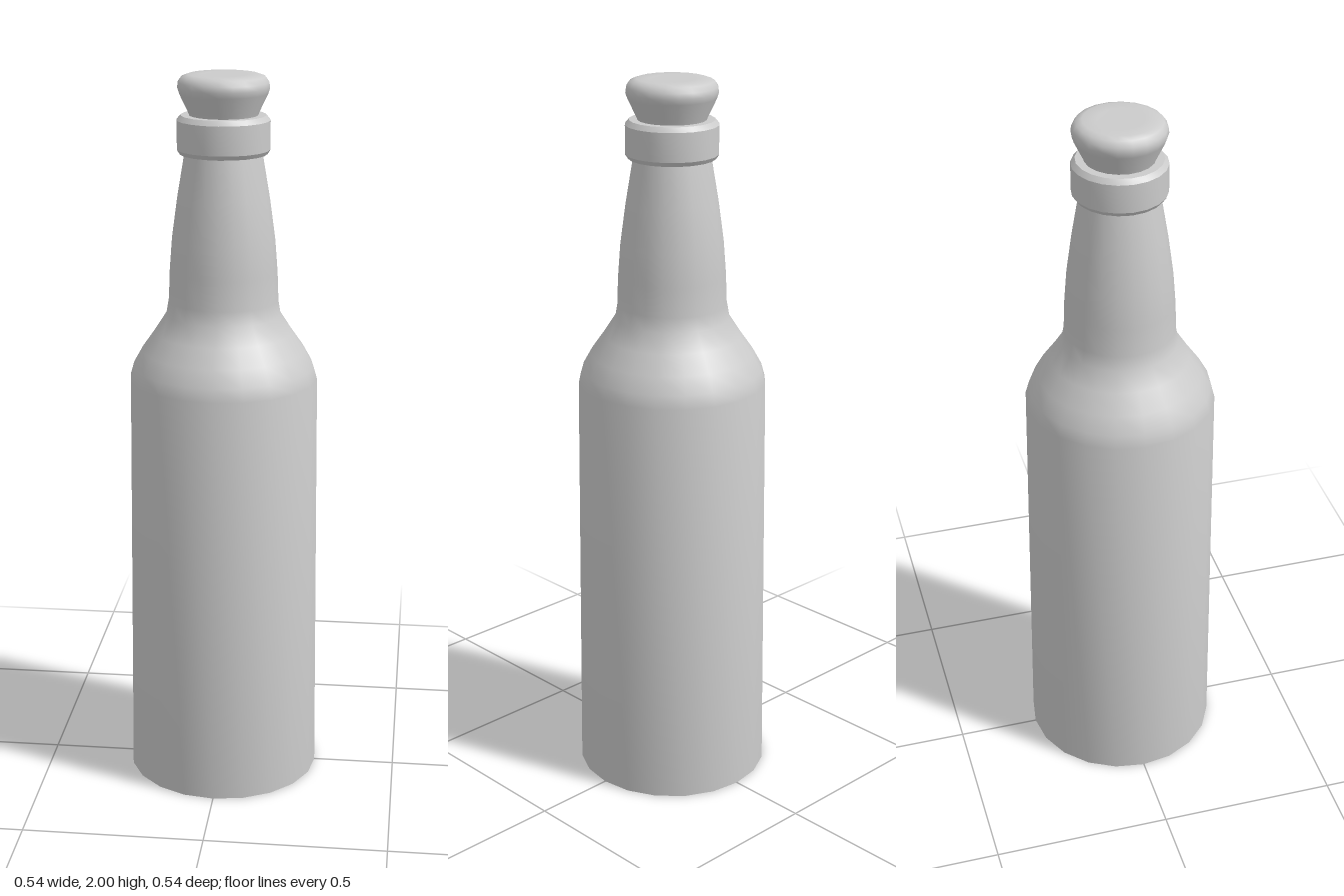
import * as THREE from 'three';
import { toCreasedNormals } from 'three/addons/utils/BufferGeometryUtils.js';

const SIDES = 20;
const material = new THREE.MeshStandardMaterial({ color: 0xcccccc });

// Turned part from [radius, height] pairs, listed bottom to top
function turned(name, profile, crease = 0.7) {
  const points = profile.map(([r, y]) => new THREE.Vector2(r, y));
  const geometry = toCreasedNormals(new THREE.LatheGeometry(points, SIDES), crease);
  const mesh = new THREE.Mesh(geometry, material);
  mesh.name = name;
  return mesh;
}

export function createModel() {
  const bottle = new THREE.Group();
  bottle.name = 'bottle';

  // Flat base, slightly tapered body, rounded shoulder and long neck
  bottle.add(turned('body', [
    [0, 0], [0.27, 0], [0.26, 1.17], [0.25, 1.205], [0.225, 1.25],
    [0.19, 1.3], [0.158, 1.35], [0.151, 1.39], [0.148, 1.47],
    [0.141, 1.56], [0.126, 1.67], [0.104, 1.8],
  ]));

  // Bevelled ring around the mouth, closed across the top
  bottle.add(turned('collar', [
    [0.1, 1.79], [0.118, 1.79], [0.126, 1.802], [0.126, 1.88],
    [0.115, 1.893], [0, 1.893],
  ], 0.5));

  // Flared stopper with a rounded top
  bottle.add(turned('stopper', [
    [0.09, 1.885], [0.095, 1.9], [0.119, 1.95], [0.124, 1.965],
    [0.122, 1.98], [0.112, 1.994], [0.095, 2], [0.06, 2], [0, 1.998],
  ], 0.9));

  return bottle;
}
